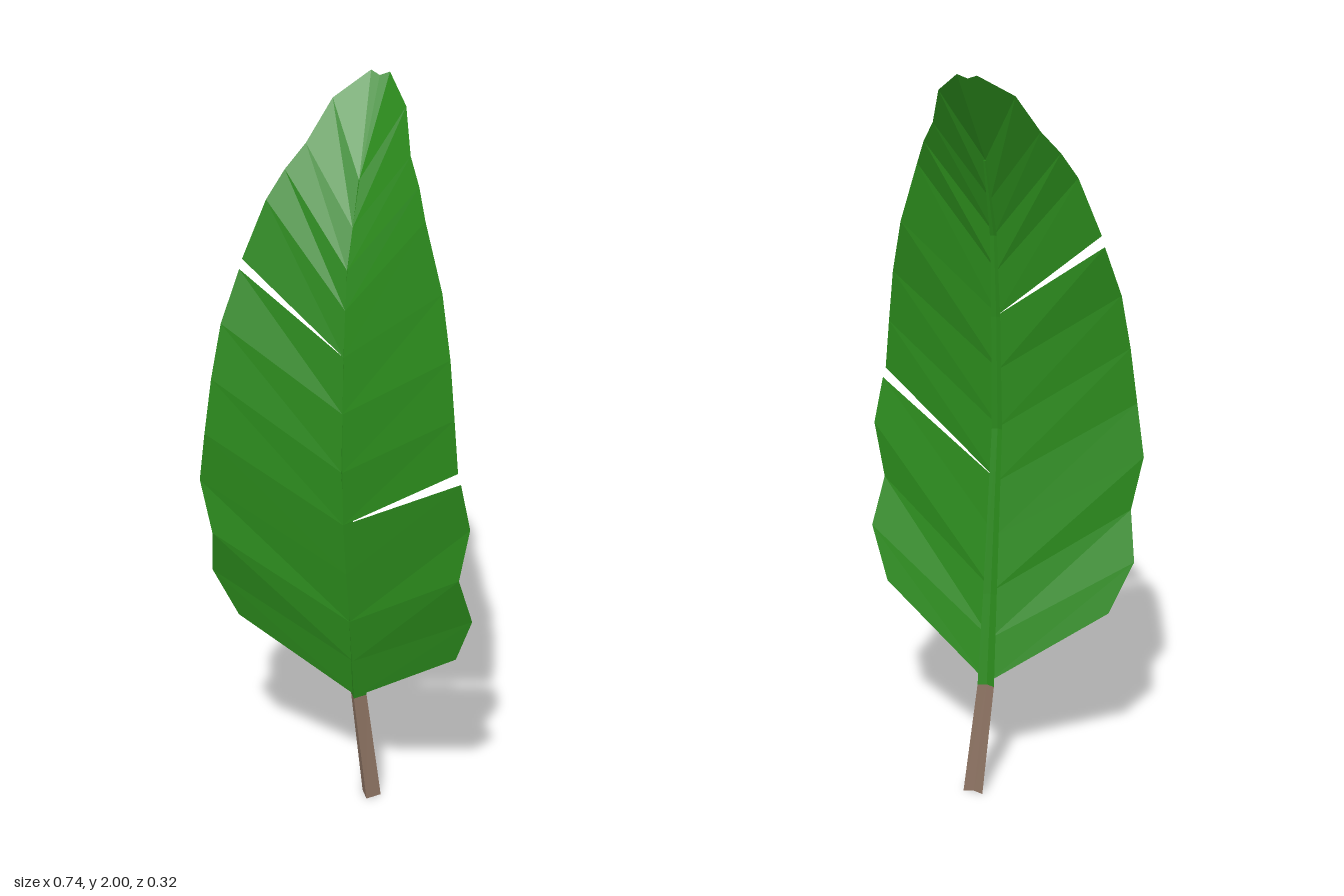
import * as THREE from 'three';

const leafMaterial = new THREE.MeshStandardMaterial({ color: 0x2b8a1c, flatShading: true, side: THREE.DoubleSide });
const stemMaterial = new THREE.MeshStandardMaterial({ color: 0x8f7564, flatShading: true, side: THREE.DoubleSide });

// One vein per row: midrib y, midrib z, edge x, edge y, edge z
const veins = [
  [0.32, -0.015, 0.31, 0.54, 0.06],
  [0.44, 0.01, 0.366, 0.68, 0.097],
  [0.57, 0.033, 0.343, 0.81, 0.137],
  [0.72, 0.055, 0.372, 0.96, 0.143],
  [0.87, 0.073, 0.347, 1.1, 0.158],
  [1.02, 0.08, 0.328, 1.25, 0.15],
  [1.18, 0.076, 0.307, 1.395, 0.13],
  [1.33, 0.068, 0.268, 1.545, 0.09],
  [1.45, 0.058, 0.21, 1.71, 0.06],
  [1.55, 0.045, 0.177, 1.78, 0.02],
  [1.65, 0.012, 0.138, 1.84, -0.02],
  [1.76, -0.028, 0.097, 1.94, -0.09],
  [1.99, -0.155, 0.025, 2.0, -0.16],
];

function surface(points, indices, material, name) {
  const geometry = new THREE.BufferGeometry();
  geometry.setAttribute('position', new THREE.Float32BufferAttribute(points, 3));
  geometry.setIndex(indices);
  geometry.computeVertexNormals();
  const mesh = new THREE.Mesh(geometry, material);
  mesh.name = name;
  return mesh;
}

// Half of the blade; the edge parts slightly at the torn vein
function halfBlade(side, tornRow, name) {
  const points = [], indices = [];
  for (let i = 0; i < veins.length - 1; i++) {
    const base = points.length / 3;
    for (const row of [i, i + 1]) {
      const [my, mz, ex, ey, ez] = veins[row];
      const gap = row === tornRow ? (row === i ? 0.014 : -0.014) : 0;
      points.push(0, my, mz, side * (ex - gap * 0.3), ey + gap, ez);
    }
    const [a, b, c, d] = [base, base + 1, base + 2, base + 3];
    if (side > 0) indices.push(a, b, d, a, d, c);
    else indices.push(a, d, b, a, c, d);
  }
  return surface(points, indices, leafMaterial, name);
}

// Ridged bar with a shallow groove in its back; stations are [x, y, front z, half width, depth]
function ridgedBar(stations, material, name) {
  const points = [], indices = [];
  for (const [x, y, z, w, d] of stations) {
    points.push(x, y, z, x - w, y, z - d, x, y, z - d * 0.75, x + w, y, z - d);
  }
  const last = (stations.length - 1) * 4;
  for (let i = 0; i < last; i += 4) {
    for (let k = 0; k < 4; k++) {
      const a = i + k, b = i + ((k + 1) % 4);
      indices.push(a, a + 4, b, b, a + 4, b + 4);
    }
  }
  indices.push(0, 1, 2, 0, 2, 3, last, last + 2, last + 1, last, last + 3, last + 2);
  return surface(points, indices, material, name);
}

export function createModel() {
  const model = new THREE.Group();
  model.name = 'leaf';

  // Blade halves, each with one tear
  model.add(halfBlade(1, 4, 'leftBlade'), halfBlade(-1, 7, 'rightBlade'));

  // Tapering midrib
  model.add(ridgedBar([
    [-0.002, 0.32, 0.0, 0.023, 0.033],
    [0, 0.57, 0.034, 0.019, 0.027],
    [0, 1.02, 0.083, 0.014, 0.02],
    [0, 1.33, 0.069, 0.012, 0.017],
    [0, 1.55, 0.046, 0.009, 0.013],
    [0, 1.76, -0.026, 0.004, 0.007],
  ], leafMaterial, 'midrib'));

  // Bare stalk
  model.add(ridgedBar([
    [0.027, 0, -0.02, 0.027, 0.036],
    [-0.002, 0.32, 0.0, 0.023, 0.033],
  ], stemMaterial, 'stalk'));

  return model;
}
